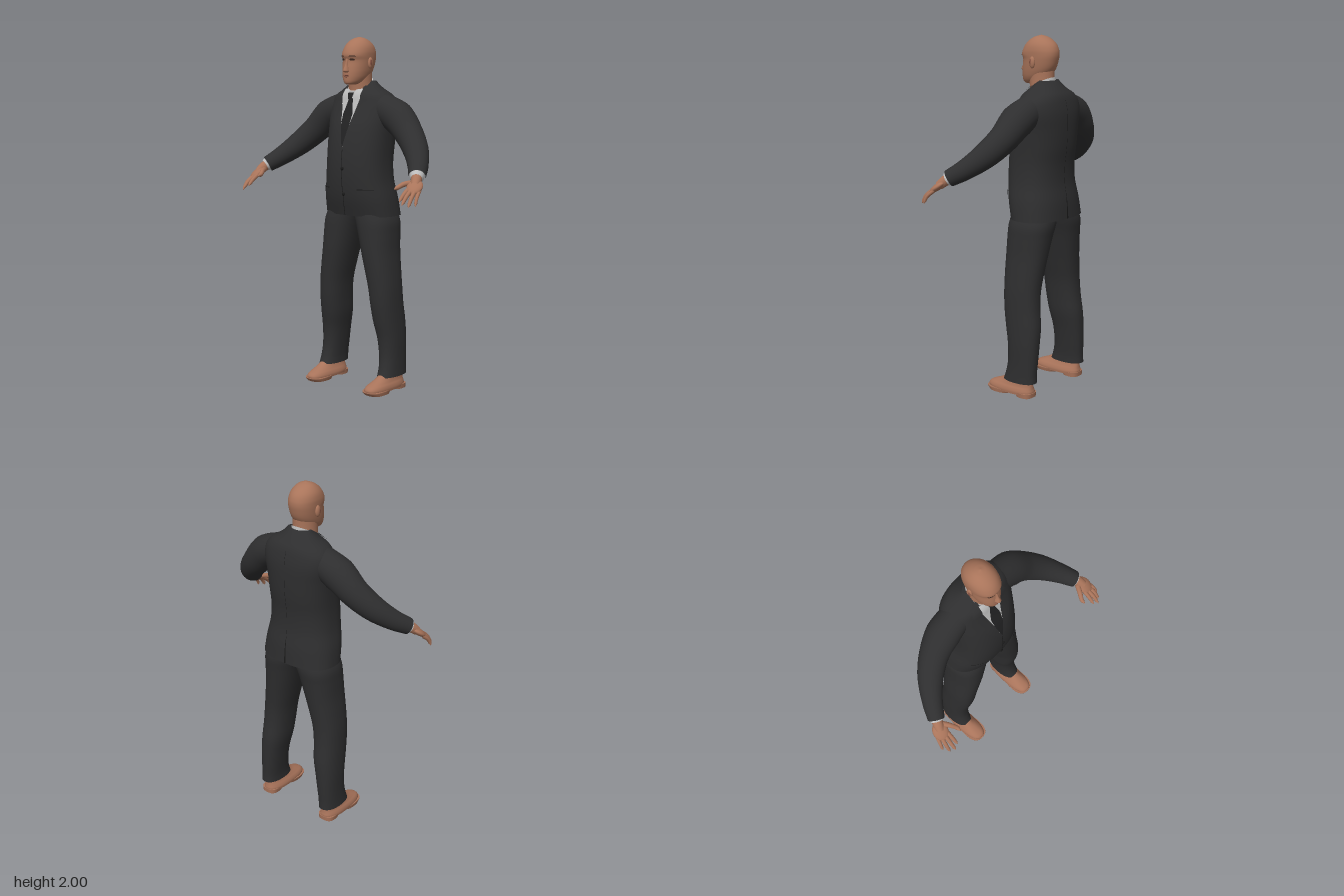
import * as THREE from 'three';

const paint = (name, color) => Object.assign(new THREE.MeshStandardMaterial({ color }), { name });

// Smoothly interpolated cross-section row at height y: [y, xMin, xMax, zFront, zBack, exponent]
function rowAt(rows, y) {
  let k = 0;
  while (k < rows.length - 2 && y > rows[k + 1][0]) k++;
  const a = rows[k], b = rows[k + 1], h = b[0] - a[0];
  const t = THREE.MathUtils.clamp((y - a[0]) / h, 0, 1);
  const slope = (i, c) => {
    const p = rows[Math.max(i - 1, 0)], q = rows[Math.min(i + 1, rows.length - 1)];
    return (q[c] - p[c]) / (q[0] - p[0]);
  };
  return a.map((v, c) => c === 0 ? y
    : v * (2 * t ** 3 - 3 * t * t + 1) + b[c] * (3 * t * t - 2 * t ** 3)
      + h * (slope(k, c) * (t ** 3 - 2 * t * t + t) + slope(k + 1, c) * (t ** 3 - t * t)));
}

// Closed body through superelliptic cross-sections stacked upwards
function loft(rows, seg = 48, sub = 5) {
  const pos = [], idx = [], rings = [];
  for (let i = 0; i < rows.length - 1; i++)
    for (let s = 0; s < sub; s++)
      rings.push(rowAt(rows, THREE.MathUtils.lerp(rows[i][0], rows[i + 1][0], s / sub)));
  rings.push(rows[rows.length - 1]);
  const addRing = ([y, x0, x1, zf, zb, n]) => {
    for (let j = 0; j < seg; j++) {
      const a = j / seg * Math.PI * 2, c = Math.cos(a), s = Math.sin(a);
      pos.push((x0 + x1) / 2 + (x1 - x0) / 2 * Math.sign(c) * Math.abs(c) ** (2 / n), y,
        (zf + zb) / 2 + (zf - zb) / 2 * Math.sign(s) * Math.abs(s) ** (2 / n));
    }
  };
  rings.forEach(addRing);
  for (let i = 0; i < rings.length - 1; i++)
    for (let j = 0; j < seg; j++) {
      const p = i * seg + j, q = i * seg + (j + 1) % seg;
      idx.push(p, p + seg, q, q, p + seg, q + seg);
    }
  // End caps
  [[rings[0], false], [rings[rings.length - 1], true]].forEach(([r, top]) => {
    const base = pos.length / 3;
    addRing(r);
    pos.push((r[1] + r[2]) / 2, r[0], (r[3] + r[4]) / 2);
    for (let j = 0; j < seg; j++) {
      const p = base + j, q = base + (j + 1) % seg;
      idx.push(base + seg, top ? q : p, top ? p : q);
    }
  });
  return build(pos, idx);
}

function build(pos, idx) {
  const g = new THREE.BufferGeometry();
  g.setAttribute('position', new THREE.Float32BufferAttribute(pos, 3));
  g.setIndex(idx);
  g.computeVertexNormals();
  return g;
}

// Thin plate lying on a lofted body; edge rows run downwards as [y, xLeft, xRight]
function patch(body, edges, lift, side = 1, cols = 8, sub = 5) {
  const pos = [], idx = [], n = (edges.length - 1) * sub;
  for (let i = 0; i <= n; i++) {
    const k = Math.min(Math.floor(i / sub), edges.length - 2), t = i / sub - k;
    const [y, l, r] = edges[k].map((v, c) => THREE.MathUtils.lerp(v, edges[k + 1][c], t));
    const [, x0, x1, zf, zb, e] = rowAt(body, y);
    for (let j = 0; j <= cols; j++) {
      const x = l + (r - l) * j / cols;
      const u = Math.min(1, Math.abs((x - (x0 + x1) / 2) / ((x1 - x0) / 2)));
      pos.push(x, y, (zf + zb) / 2 + side * ((zf - zb) / 2 * (1 - u ** e) ** (1 / e) + lift));
      if (i < n && j < cols) {
        const p = i * (cols + 1) + j, d = p + cols + 1;
        idx.push(...(side > 0 ? [p, d, p + 1, p + 1, d, d + 1] : [p, p + 1, d, p + 1, d + 1, d]));
      }
    }
  }
  return build(pos, idx);
}

// Tapered tube through points, radii spread evenly along its length
function limb(points, radii, n = 30, seg = 20) {
  const curve = new THREE.CatmullRomCurve3(points.map(p => new THREE.Vector3(...p)));
  const g = new THREE.TubeGeometry(curve, n, 1, seg), pos = g.attributes.position;
  const v = new THREE.Vector3();
  for (let i = 0; i <= n; i++) {
    const c = curve.getPointAt(i / n), f = i / n * (radii.length - 1);
    const k = Math.min(Math.floor(f), radii.length - 2);
    const r = THREE.MathUtils.lerp(radii[k], radii[k + 1], f - k);
    for (let j = 0; j <= seg; j++) {
      const m = i * (seg + 1) + j;
      v.fromBufferAttribute(pos, m).sub(c).multiplyScalar(r).add(c);
      pos.setXYZ(m, v.x, v.y, v.z);
    }
  }
  return g;
}

const ball = (x, y, z, rx, ry, rz) => new THREE.SphereGeometry(1, 24, 16).scale(rx, ry, rz).translate(x, y, z);
const sym = rows => rows.map(([y, w, zf, zb, n]) => [y, -w, w, zf, zb, n]);

export function createModel() {
  const man = new THREE.Group();
  man.name = 'suitedMan';
  const skin = paint('skin', 0xa9745a), leather = paint('shoe leather', 0xa8735a);
  const suit = paint('suit cloth', 0x2e2e2f), shirt = paint('shirt', 0xbcbcbc);
  const tieCloth = paint('tie', 0x222223), dark = paint('seams and buttons', 0x1a1a1a);
  const brow = paint('brows and eyes', 0x402c24), lip = paint('lips', 0x8a5747);

  const add = (name, geo, mat) => {
    const m = new THREE.Mesh(geo, mat);
    m.name = name;
    man.add(m);
  };
  // Left part plus its mirror image on the right
  const pair = (name, geo, mat) => {
    add(name + 'Left', geo, mat);
    const g = geo.clone().scale(-1, 1, 1), ix = g.index;
    for (let i = 0; i < ix.count; i += 3) {
      const t = ix.getX(i);
      ix.setX(i, ix.getX(i + 1));
      ix.setX(i + 1, t);
    }
    add(name + 'Right', g, mat);
  };

  // Head, neck and face
  const head = sym([
    [1.735, .022, .016, -.06, 2], [1.745, .043, .027, -.09, 2], [1.77, .06, .03, -.13, 2.1],
    [1.80, .069, .029, -.158, 2.2], [1.83, .074, .026, -.176, 2.2], [1.87, .078, .021, -.188, 2.2],
    [1.895, .08, .029, -.192, 2.2], [1.92, .08, .023, -.19, 2.1], [1.95, .073, .006, -.177, 2],
    [1.975, .056, -.021, -.15, 2], [1.992, .033, -.053, -.118, 2], [2, .003, -.083, -.088, 2]]);
  add('head', loft(head), skin);
  add('neck', loft(sym([[1.6, .075, -.02, -.18, 2], [1.7, .067, -.024, -.166, 2],
    [1.76, .064, -.018, -.163, 2], [1.84, .064, -.01, -.165, 2]])), skin);
  add('nose', loft(sym([[1.803, .010, .034, .01, 2], [1.809, .017, .049, .005, 2], [1.82, .015, .048, .005, 2],
    [1.845, .009, .037, .005, 2], [1.88, .007, .026, .005, 2]]), 20, 4), skin);
  add('upperLip', ball(0, 1.788, .028, .02, .004, .007), lip);
  add('lowerLip', ball(0, 1.780, .028, .017, .004, .007), lip);
  pair('ear', ball(.08, 1.855, -.085, .012, .032, .018).rotateX(0), skin);
  pair('earHollow', ball(.088, 1.858, -.08, .005, .018, .008), lip);
  pair('eye', patch(head, [[1.879, .022, .04], [1.874, .018, .047], [1.868, .023, .041]], .002), brow);
  pair('eyebrow', patch(head, [[1.897, .022, .048], [1.891, .015, .054]], .003), brow);

  // Jacket body
  const jacket = sym([
    [1.0, .231, .022, -.271, 2.5], [1.1, .22, .052, -.265, 2.4], [1.2, .2, .066, -.25, 2.4],
    [1.3, .192, .068, -.25, 2.4], [1.4, .194, .058, -.262, 2.4], [1.5, .201, .036, -.267, 2.4],
    [1.58, .212, .006, -.266, 2.4], [1.64, .208, -.014, -.256, 2.3], [1.68, .178, -.024, -.242, 2.2],
    [1.71, .127, -.042, -.219, 2.1], [1.74, .091, -.075, -.191, 2], [1.757, .076, -.105, -.172, 2]]);
  add('jacket', loft(jacket, 72), suit);
  add('shirtFront', patch(jacket, [[1.70, -.062, .062], [1.66, -.066, .066], [1.6, -.053, .053],
    [1.5, -.03, .03], [1.38, -.001, .001]], .004), shirt);
  add('tieKnot', patch(jacket, [[1.692, -.021, .021], [1.655, -.014, .014]], .016), tieCloth);
  add('tie', patch(jacket, [[1.66, -.014, .014], [1.64, -.018, .018], [1.57, -.034, .034],
    [1.5, -.028, .028], [1.39, -.002, .002]], .008), tieCloth);
  pair('lapel', patch(jacket, [[1.73, .055, .088], [1.66, .064, .125], [1.635, .058, .103], [1.625, .056, .128],
    [1.5, .027, .082], [1.38, .001, .01]], .009), suit);
  pair('collarWing', patch(jacket, [[1.712, .02, .064], [1.67, .022, .064], [1.625, .043, .055]], .012), shirt);

  // Shirt collar, sloping down towards the front
  const collar = loft(sym([[1.715, .08, -.012, -.178, 2], [1.775, .069, -.02, -.168, 2]]));
  const cp = collar.attributes.position;
  for (let i = 0; i < cp.count; i++) cp.setY(i, cp.getY(i) - (cp.getZ(i) + .17) * .5);
  collar.computeVertexNormals();
  add('shirtCollar', collar, shirt);

  // Jacket details: front edge, buttons, pocket flaps, back vent
  add('frontEdge', patch(jacket, [[1.375, -.002, .002], [1.1, -.002, .002], [1.003, -.014, -.01]], .003, 1, 2), dark);
  [1.27, 1.125].forEach(y => add('button', ball(.004, y, rowAt(jacket, y)[3] + .002, .01, .01, .006), dark));
  pair('pocketFlap', patch(jacket, [[1.155, .1, .182], [1.125, .1, .186]], .006), suit);
  pair('pocketSeam', patch(jacket, [[1.158, .1, .182], [1.153, .1, .182]], .008), dark);
  add('backVent', patch(jacket, [[1.16, -.001, .001], [1.003, -.006, .006]], .003, -1, 2), dark);
  add('backSeam', patch(jacket, [[1.66, -.001, .001], [1.16, -.001, .001]], .002, -1, 2, 40), dark);

  // Arms
  pair('sleeve', limb([[.14, 1.605, -.125], [.25, 1.555, -.12], [.345, 1.467, -.1], [.43, 1.385, -.05],
    [.505, 1.31, .03], [.553, 1.262, .102]], [.085, .093, .08, .071, .058, .046], 40, 28), suit);
  pair('shirtCuff', limb([[.535, 1.28, .078], [.55, 1.265, .098], [.562, 1.252, .118], [.564, 1.25, .121]],
    [.038, .039, .039, .036, .001], 16), shirt);

  // Hands
  const along = new THREE.Vector3(.025, -.055, .075).normalize();
  const across = new THREE.Vector3(.9, -.05, -.35).normalize();
  const thick = new THREE.Vector3().crossVectors(across, along).normalize();
  across.crossVectors(along, thick);
  pair('palm', new THREE.SphereGeometry(1, 24, 16).scale(.043, .056, .019)
    .applyMatrix4(new THREE.Matrix4().makeBasis(across, along, thick).setPosition(.579, 1.217, .155)), skin);
  pair('wrist', limb([[.548, 1.268, .095], [.565, 1.245, .125], [.577, 1.222, .15]], [.03, .029, .024]), skin);
  const fingers = {
    index: [[.556, 1.212, .168], [.556, 1.178, .222], [.556, 1.145, .257]],
    middle: [[.575, 1.206, .172], [.581, 1.17, .23], [.583, 1.13, .27]],
    ring: [[.594, 1.202, .168], [.605, 1.165, .217], [.609, 1.118, .25]],
    little: [[.61, 1.2, .155], [.623, 1.165, .195], [.63, 1.123, .217]],
    thumb: [[.55, 1.235, .13], [.522, 1.228, .175], [.505, 1.212, .205], [.502, 1.205, .232]],
  };
  for (const [name, path] of Object.entries(fingers)) {
    const s = name === 'thumb' ? 1.25 : name === 'little' ? .88 : 1;
    pair(name + 'Finger', limb(path, [.012, .012, .0115, .011, .01, .009, .0005].map(r => r * s), 24, 12), skin);
  }

  // Trouser legs
  pair('trouserLeg', loft([
    [.085, .163, .28, -.008, -.22, 2.3], [.13, .163, .277, -.024, -.219, 2.3], [.2, .156, .275, -.036, -.222, 2.3],
    [.3, .142, .275, -.032, -.225, 2.3], [.4, .123, .272, -.012, -.224, 2.3], [.5, .113, .268, .003, -.212, 2.3],
    [.6, .1, .263, .01, -.208, 2.3], [.7, .076, .252, .016, -.215, 2.3], [.8, .05, .24, .02, -.226, 2.3],
    [.9, .022, .234, .02, -.238, 2.3], [.97, -.002, .228, .018, -.247, 2.3], [1.04, -.03, .2, .01, -.24, 2.3]]), suit);

  // Shoes: upper, front sole and heel
  pair('shoeUpper', loft([
    [.014, .16, .277, .1, -.2, 2.6], [.03, .159, .278, .104, -.203, 2.6], [.046, .164, .274, .092, -.2, 2.5],
    [.06, .172, .267, .062, -.198, 2.4], [.078, .18, .262, .018, -.196, 2.3], [.105, .184, .26, -.025, -.194, 2.2]]), leather);
  pair('frontSole', loft([[0, .16, .278, .09, -.055, 2.6], [.018, .155, .281, .108, -.07, 2.6],
    [.022, .155, .281, .108, -.075, 2.6]], 40, 2), leather);
  pair('heel', loft([[0, .17, .27, -.105, -.204, 2.8], [.026, .167, .273, -.095, -.206, 2.8]], 40, 2), leather);
  return man;
}
